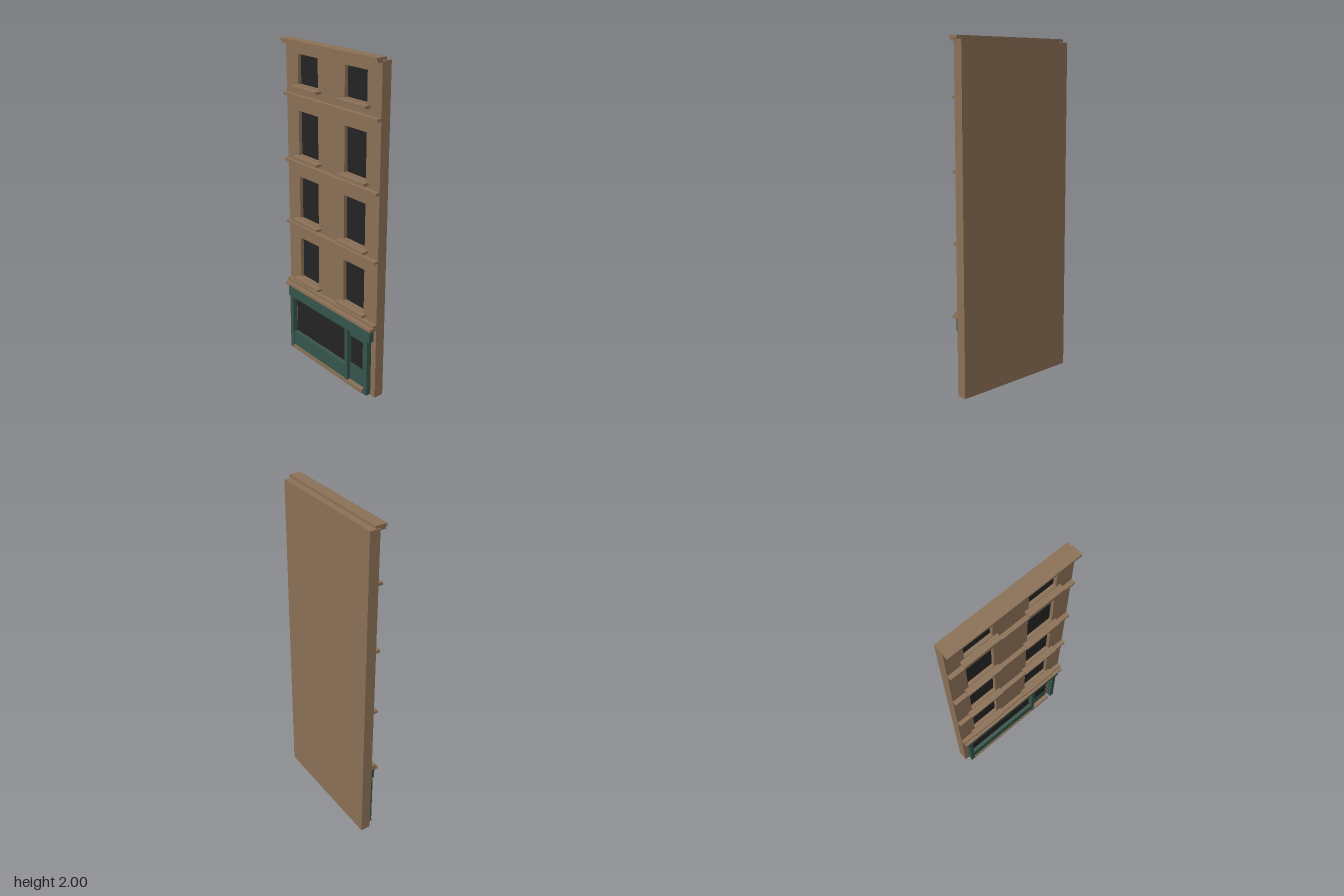
import * as THREE from 'three';

const mat = (name, color) => Object.assign(new THREE.MeshStandardMaterial({ color }), { name });

export function createModel() {
  const stone = mat('brownstone', 0x8b7056);
  const green = mat('shopGreen', 0x35544b);
  const glass = mat('darkGlass', 0x232323);
  const model = new THREE.Group();
  model.name = 'townhouseFacade';

  // box given by its extents on each axis
  const box = (name, m, x0, x1, y0, y1, z0, z1) => {
    const mesh = new THREE.Mesh(new THREE.BoxGeometry(x1 - x0, y1 - y0, z1 - z0), m);
    mesh.position.set((x0 + x1) / 2, (y0 + y1) / 2, (z0 + z1) / 2);
    mesh.name = name;
    model.add(mesh);
  };
  const W = 0.405, BACK = -0.053, MID = -0.02, FRONT = 0.008, TOP = 1.98;
  const floors = [[0.53, 0.795], [0.927, 1.193], [1.327, 1.593], [1.747, 1.92]];

  // wall with window openings, closed by a solid back
  const shape = new THREE.Shape([[-W, 0], [W, 0], [W, TOP], [-W, TOP]].map(p => new THREE.Vector2(...p)));
  for (const [y0, y1] of floors) {
    for (const s of [-1, 1]) {
      const x0 = s * 0.205 - 0.09, x1 = s * 0.205 + 0.09;
      shape.holes.push(new THREE.Path([[x0, y0], [x0, y1], [x1, y1], [x1, y0]].map(p => new THREE.Vector2(...p))));
      box('windowPane', glass, x0, x1, y0, y1, MID, MID + 0.006);
      box('windowSill', stone, s * 0.205 - 0.117, s * 0.205 + 0.117, y0 - 0.021, y0 - 0.005, FRONT, 0.047);
    }
  }
  const wall = new THREE.Mesh(
    new THREE.ExtrudeGeometry(shape, { depth: FRONT - MID, bevelEnabled: false }), stone);
  wall.position.z = MID;
  wall.name = 'frontWall';
  model.add(wall);
  box('backWall', stone, -W, W, 0, TOP, BACK, MID);

  // string courses and stepped cornice
  for (const y of [0.482, 0.88, 1.28, 1.68]) box('stringCourse', stone, -W, W, y - 0.008, y + 0.008, FRONT, 0.034);
  box('corniceLower', stone, -W, W, 1.972, 1.985, FRONT, 0.04);
  box('corniceTop', stone, -W, W, 1.985, 2, MID, 0.048);

  // shopfront head
  box('shopCornice', stone, -0.402, 0.402, 0.452, 0.469, FRONT, 0.053);
  box('shopFascia', green, -0.385, 0.385, 0.374, 0.452, FRONT, 0.042);

  // pilasters with small feet
  for (const [x0, x1] of [[-0.375, -0.346], [0.337, 0.366]]) {
    box('pilaster', green, x0, x1, 0.02, 0.374, FRONT, 0.04);
    box('pilasterFoot', green, x0, x1, 0.008, 0.02, FRONT, 0.042);
  }
  box('doorPost', green, 0.163, 0.187, 0.025, 0.374, FRONT, 0.038);

  // display window
  box('stallRiser', green, -0.346, 0.163, 0.025, 0.12, FRONT, 0.034);
  box('displayFrame', stone, -0.346, 0.163, 0.12, 0.374, FRONT, 0.01);
  box('displayGlass', glass, -0.339, 0.157, 0.125, 0.367, 0.01, 0.013);

  // door
  box('door', green, 0.187, 0.314, 0.025, 0.35, FRONT, 0.014);
  box('doorGlass', glass, 0.195, 0.3, 0.15, 0.327, 0.014, 0.017);
  box('doorStep', stone, -0.36, 0.322, 0, 0.025, FRONT, 0.04);

  return model;
}
